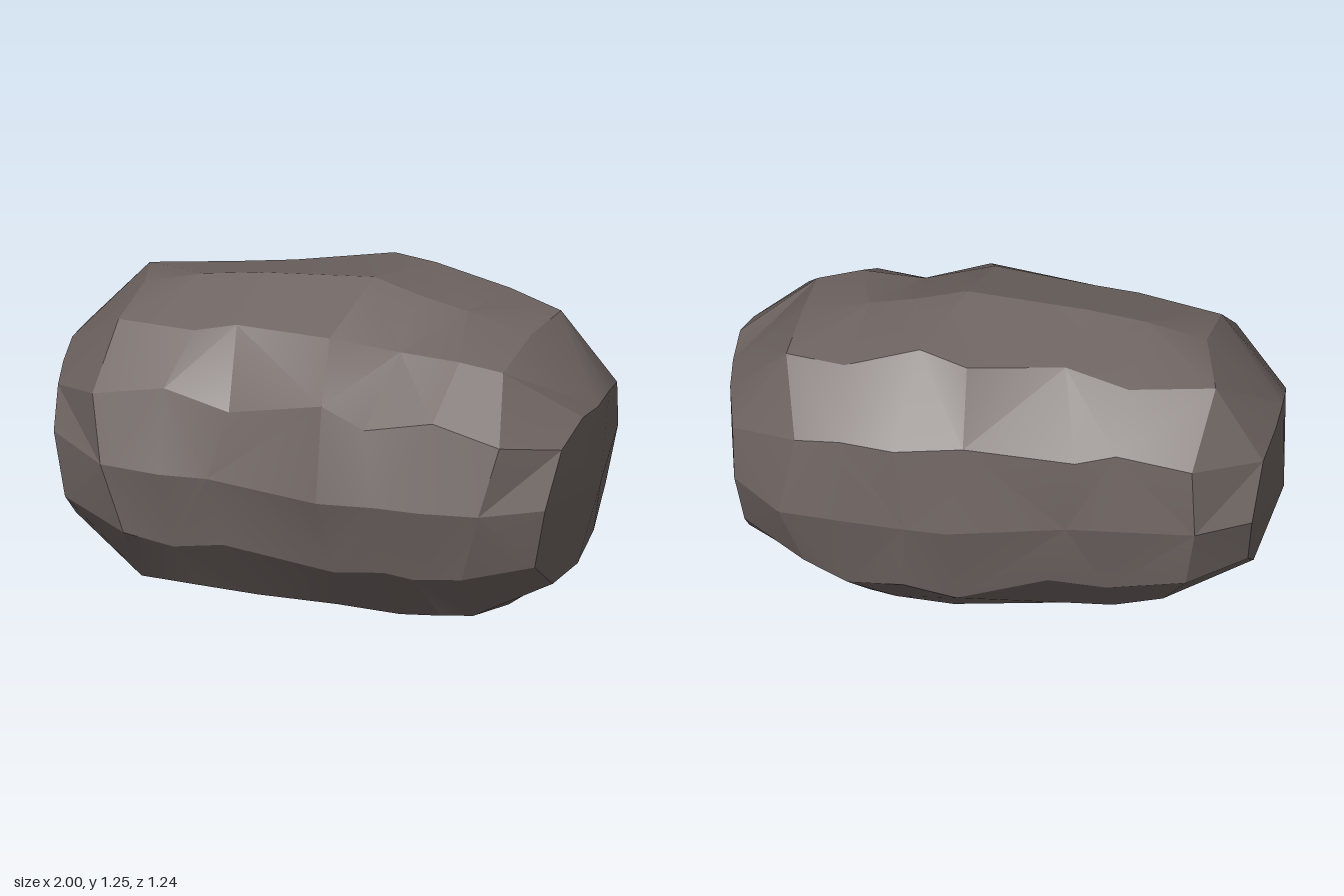
import * as THREE from 'three';
import { toCreasedNormals } from 'three/addons/utils/BufferGeometryUtils.js';

const SIDES = 12;
const CENTRE_Y = 0.62;

// Cross-sections along x: x at the top, x at the bottom, and radii from the
// front (+z), up over the top, round the back and underneath.
const sections = [
  { top: -0.99, bottom: -0.91, r: [0.32, 0.25, 0.22, 0.23, 0.27, 0.37, 0.42, 0.41, 0.39, 0.40, 0.42, 0.43] },
  { top: -0.74, bottom: -0.62, r: [0.54, 0.50, 0.49, 0.49, 0.51, 0.55, 0.52, 0.54, 0.56, 0.59, 0.61, 0.58] },
  { top: -0.47, bottom: -0.42, r: [0.56, 0.55, 0.54, 0.55, 0.56, 0.57, 0.53, 0.56, 0.59, 0.605, 0.62, 0.58] },
  { top: -0.27, bottom: -0.20, r: [0.54, 0.54, 0.56, 0.585, 0.59, 0.57, 0.54, 0.57, 0.60, 0.61, 0.62, 0.57] },
  { top: 0.12, bottom: 0.16, r: [0.62, 0.64, 0.60, 0.63, 0.67, 0.65, 0.62, 0.64, 0.63, 0.615, 0.62, 0.60] },
  { top: 0.32, bottom: 0.34, r: [0.59, 0.58, 0.54, 0.58, 0.65, 0.65, 0.61, 0.63, 0.62, 0.61, 0.62, 0.59] },
  { top: 0.54, bottom: 0.48, r: [0.585, 0.59, 0.55, 0.545, 0.60, 0.63, 0.59, 0.61, 0.60, 0.60, 0.61, 0.59] },
  { top: 0.75, bottom: 0.63, r: [0.55, 0.54, 0.51, 0.49, 0.54, 0.59, 0.56, 0.56, 0.56, 0.59, 0.59, 0.57] },
  { top: 1.0, bottom: 0.92, r: [0.42, 0.37, 0.30, 0.24, 0.28, 0.38, 0.38, 0.40, 0.40, 0.39, 0.44, 0.47] },
];

function createRockGeometry() {
  const positions = [];
  const indices = [];
  const last = sections.length - 1;

  sections.forEach(({ top, bottom, r }, i) => {
    const isEnd = i === 0 || i === last;
    for (let k = 0; k < SIDES; k++) {
      // Slightly uneven spacing gives irregular facets
      const wobble = k % 3 === 0 ? 0 : 0.05 * Math.sin(3 * i + 2.1 * k);
      const angle = (k / SIDES) * Math.PI * 2 + wobble;
      const y = CENTRE_Y + r[k] * Math.sin(angle);
      const z = r[k] * Math.cos(angle);
      const t = THREE.MathUtils.clamp((0.62 - y) / 0.4, 0, 1);
      let x = THREE.MathUtils.lerp(top, bottom, t);
      // Round the end faces off, stagger the rings between them
      if (isEnd) x -= Math.sign(x) * 0.35 * z * z;
      else x += 0.035 * Math.sin(2.3 * k + 1.7 * i);
      positions.push(x, y, z);
    }
  });

  // Skin between neighbouring sections, with alternating diagonals
  const id = (i, k) => i * SIDES + (k % SIDES);
  for (let i = 0; i < last; i++) {
    for (let k = 0; k < SIDES; k++) {
      const a = id(i, k), b = id(i + 1, k), c = id(i + 1, k + 1), d = id(i, k + 1);
      if ((i + k) % 2) indices.push(a, b, c, a, c, d);
      else indices.push(a, b, d, b, c, d);
    }
  }

  // Blunt ends
  const leftCap = positions.length / 3;
  positions.push(-1, 0.52, -0.06, 1, 0.55, -0.03);
  for (let k = 0; k < SIDES; k++) {
    indices.push(leftCap, id(0, k), id(0, k + 1));
    indices.push(leftCap + 1, id(last, k + 1), id(last, k));
  }

  const geometry = new THREE.BufferGeometry();
  geometry.setAttribute('position', new THREE.Float32BufferAttribute(positions, 3));
  geometry.setIndex(indices);
  return toCreasedNormals(geometry, 0.3);
}

export function createModel() {
  const group = new THREE.Group();
  group.name = 'boulder';
  const stone = new THREE.MeshStandardMaterial({ color: 0x6f6562 });
  stone.name = 'stone';
  const rock = new THREE.Mesh(createRockGeometry(), stone);
  rock.name = 'rock';
  group.add(rock);
  return group;
}
